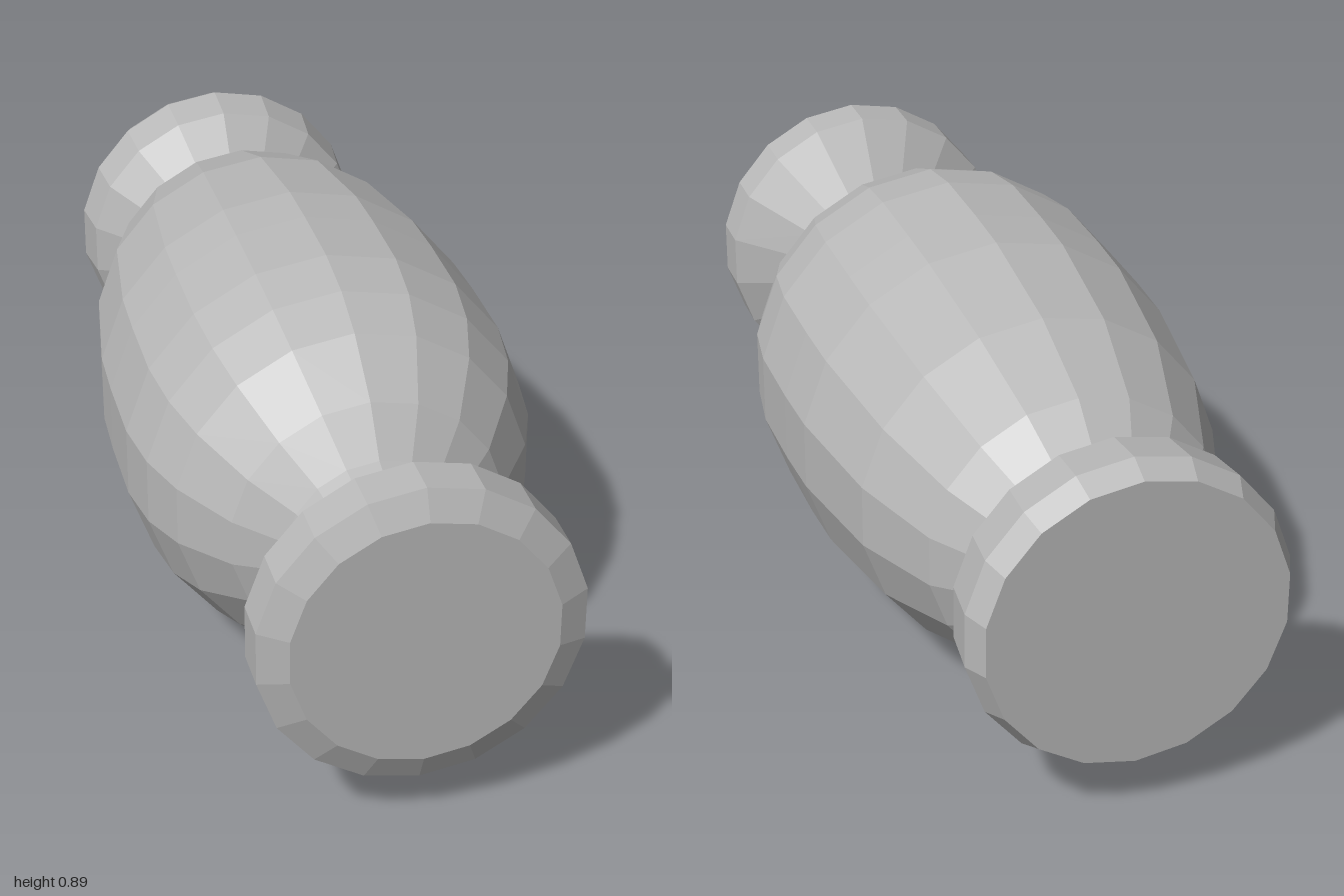
import * as THREE from 'three';

const SIDES = 18;
const AXIS_HEIGHT = 0.45;

export function createModel() {
  const group = new THREE.Group();
  group.name = 'turnedBaluster';
  const grey = new THREE.MeshStandardMaterial({ color: 0xb8b8b8 });
  grey.name = 'plain grey';
  grey.flatShading = true;

  // Turns a [radius, z] profile, listed back to front, around the long axis
  function turn(name, profile) {
    const points = profile.map(([r, z]) => new THREE.Vector2(r, z));
    const geometry = new THREE.LatheGeometry(points, SIDES);
    geometry.rotateX(Math.PI / 2);
    const mesh = new THREE.Mesh(geometry, grey);
    mesh.name = name;
    mesh.position.y = AXIS_HEIGHT;
    group.add(mesh);
  }

  // Closed, slightly rounded collar at the back
  turn('rearCollar', [
    [0, -1], [0.32, -1], [0.345, -0.945], [0.333, -0.84], [0.225, -0.755],
  ]);

  // Swelling barrel, fullest just ahead of the middle
  turn('barrel', [
    [0.225, -0.755], [0.32, -0.645], [0.398, -0.43], [0.442, -0.14],
    [0.447, 0], [0.447, 0.19], [0.427, 0.32], [0.385, 0.43],
    [0.295, 0.56], [0.2, 0.635],
  ]);

  // Narrow waist between barrel and front collar
  turn('neck', [[0.2, 0.635], [0.178, 0.7], [0.19, 0.77]]);

  // Front collar with bevelled rim and flat face
  turn('frontCollar', [
    [0.19, 0.77], [0.339, 0.875], [0.339, 0.972], [0.277, 1], [0, 1],
  ]);

  return group;
}
